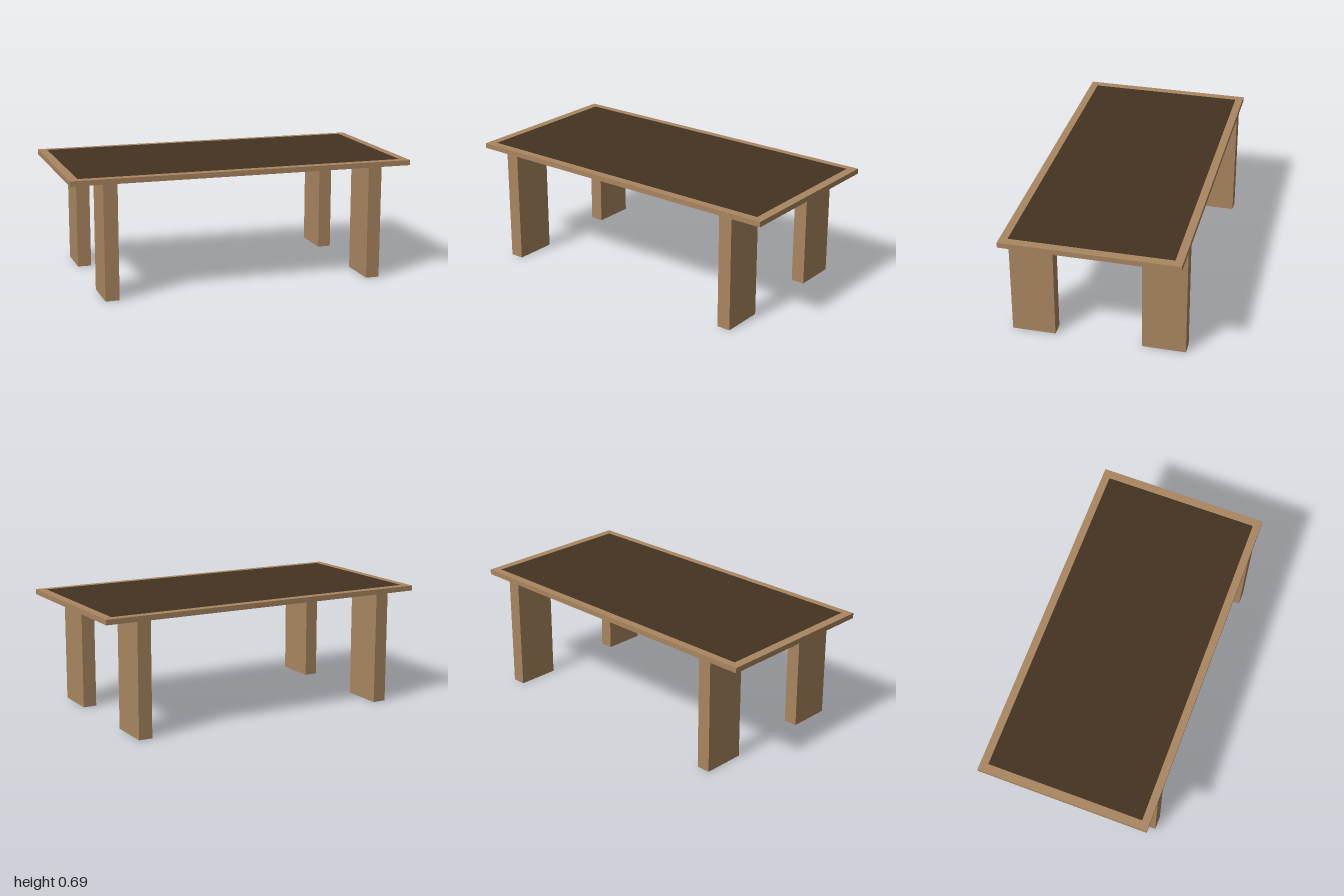
import * as THREE from 'three';

const wood = new THREE.MeshStandardMaterial({ name: 'light wood', color: 0xa98660 });
const dark = new THREE.MeshStandardMaterial({ name: 'dark inlay', color: 0x443322 });

const TOP = 0.687, UNDERSIDE = 0.657;

function box(name, w, h, d, x, bottom, z, material) {
  const mesh = new THREE.Mesh(new THREE.BoxGeometry(w, h, d), material);
  mesh.name = name;
  mesh.position.set(x, bottom + h / 2, z);
  return mesh;
}

export function createModel() {
  const table = new THREE.Group();
  table.name = 'table';

  // Table slab
  table.add(box('tableTop', 2, TOP - UNDERSIDE, 1, 0, UNDERSIDE, 0, wood));

  // Dark panel set into the top, leaving a wooden border
  const inlay = new THREE.Mesh(new THREE.PlaneGeometry(1.9, 0.91), dark);
  inlay.name = 'topInlay';
  inlay.rotation.x = -Math.PI / 2;
  inlay.position.y = TOP + 0.001;
  table.add(inlay);

  // Four slab legs, flush with the long edges
  for (const [side, sx] of [['Left', 1], ['Right', -1]]) {
    for (const [end, sz] of [['front', 1], ['back', -1]]) {
      table.add(box(`${end}${side}Leg`, 0.08, UNDERSIDE, 0.25, sx * 0.78, 0, sz * 0.375, wood));
    }
  }
  return table;
}
